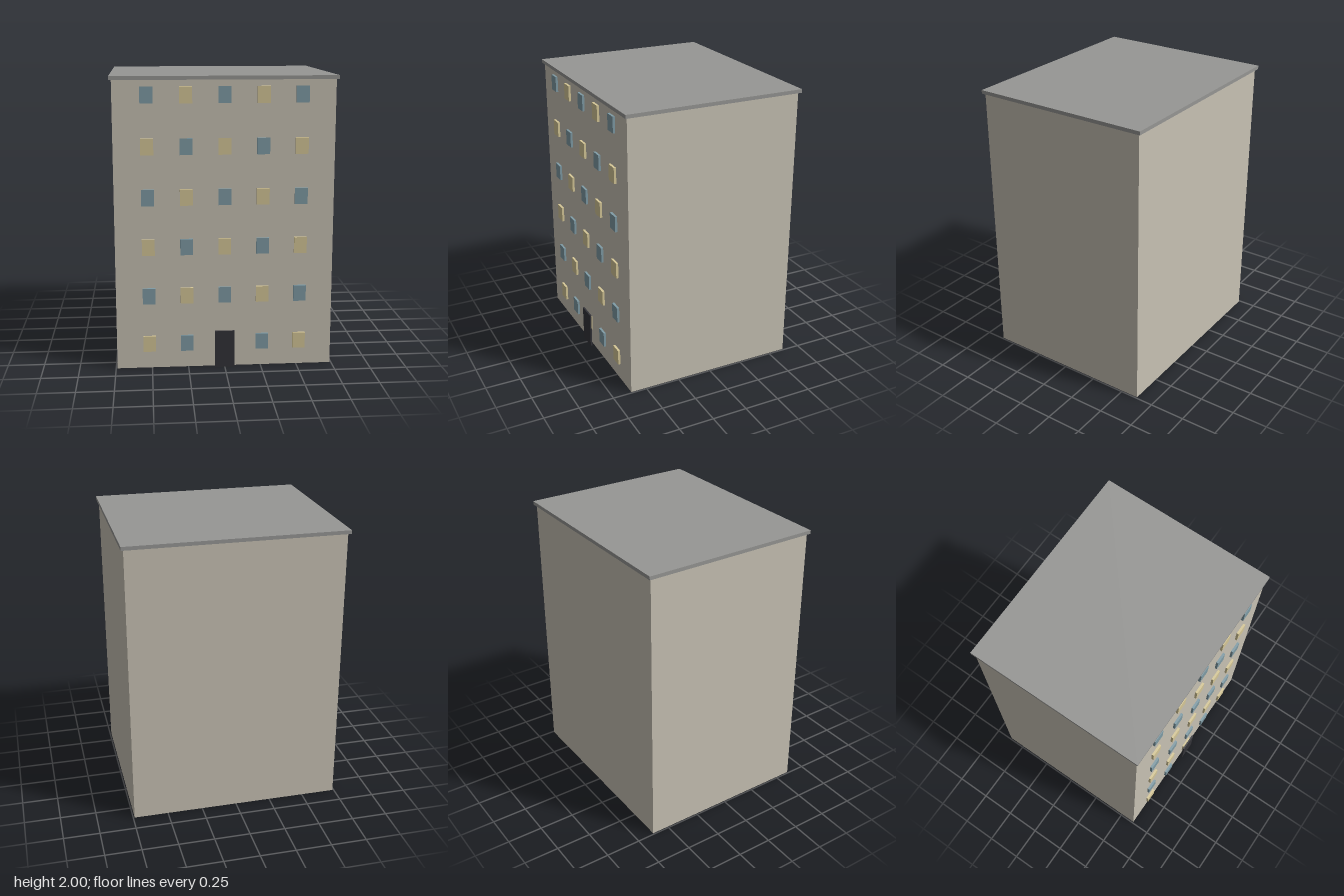
import * as THREE from 'three';

export function createModel() {
  const model = new THREE.Group();
  model.name = 'apartmentBlock';

  const paint = (color) => new THREE.MeshStandardMaterial({ color });
  const wall = paint(0xc8c2b4);
  const roofGrey = paint(0x969694);
  const darkGlass = paint(0x809ca6);
  const litGlass = paint(0xd6c898);
  const doorDark = paint(0x333338);

  // Box given by its width and centre in x, and its extents in y and z
  function box(name, material, w, x, y0, y1, z0, z1, parent = model) {
    const mesh = new THREE.Mesh(new THREE.BoxGeometry(w, y1 - y0, z1 - z0), material);
    mesh.position.set(x, (y0 + y1) / 2, (z0 + z1) / 2);
    mesh.name = name;
    parent.add(mesh);
  }

  // Main block and overhanging flat roof
  box('walls', wall, 1.48, 0, 0, 1.975, -0.623, 0.612);
  box('roof', roofGrey, 1.514, 0, 1.975, 2, -0.64, 0.628);

  // Windows, lit and dark alternating over six floors of five
  const windows = new THREE.Group();
  windows.name = 'windows';
  model.add(windows);
  for (let floor = 0; floor < 6; floor++) {
    for (let col = 0; col < 5; col++) {
      const y = 0.175 + floor * 0.3405;
      const glass = (floor + col) % 2 === 0 ? litGlass : darkGlass;
      box('window', glass, 0.086, (col - 2) * 0.258, y - 0.055, y + 0.055, 0.608, 0.628, windows);
    }
  }

  // Entrance door, set just in front of the windows
  box('door', doorDark, 0.136, 0, 0, 0.26, 0.629, 0.641);

  return model;
}
